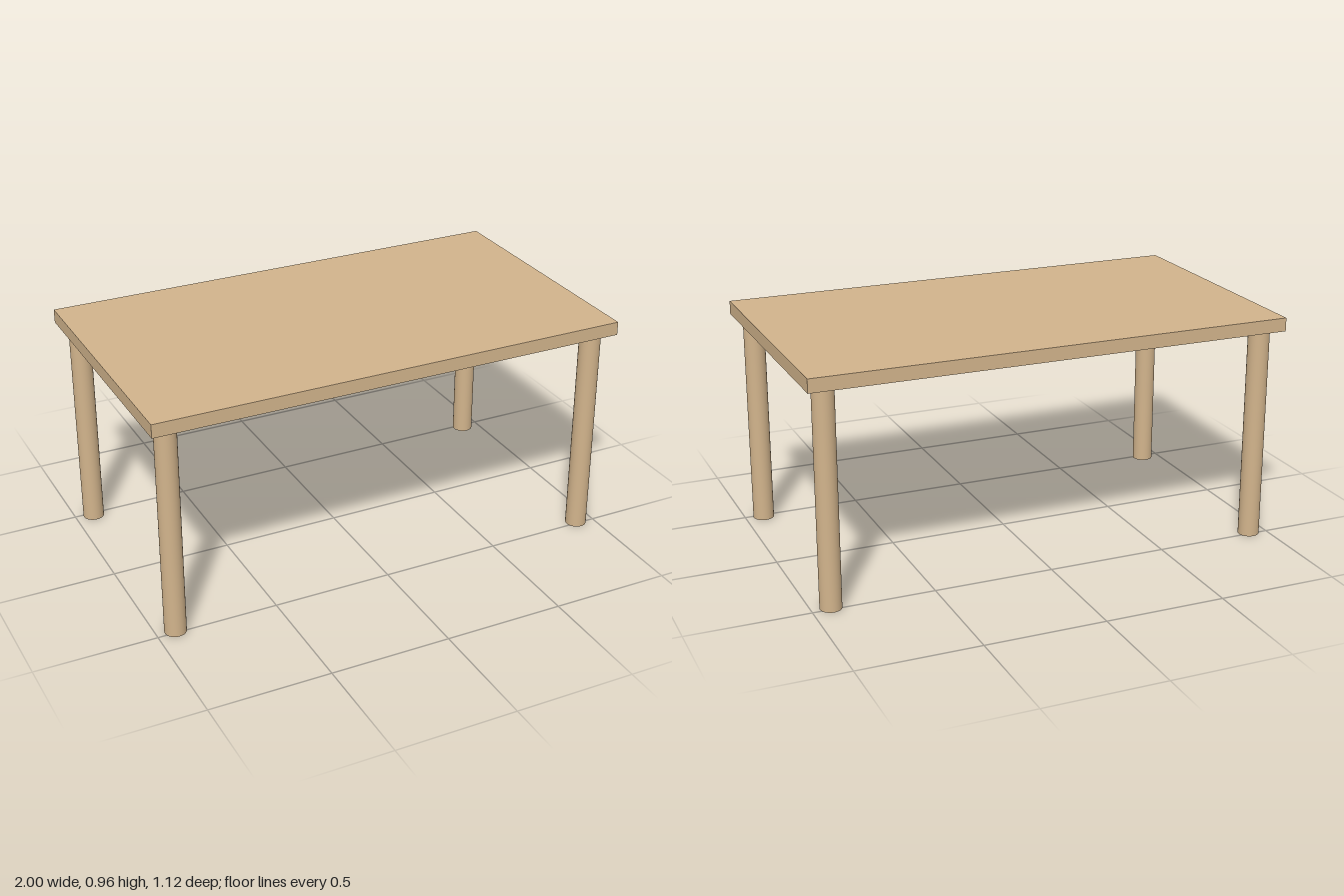
import * as THREE from 'three';

export function createModel() {
  const table = new THREE.Group();
  table.name = 'table';
  const wood = new THREE.MeshStandardMaterial({ color: 0xd2b48c });

  const legHeight = 0.9, legRadius = 0.044, topThickness = 0.056;

  // Flat rectangular top resting on the legs
  const top = new THREE.Mesh(new THREE.BoxGeometry(2, topThickness, 1.122), wood);
  top.name = 'tableTop';
  top.position.y = legHeight + topThickness / 2;
  table.add(top);

  // Four round legs, one near each corner
  const legGeometry = new THREE.CylinderGeometry(legRadius, legRadius, legHeight, 32);
  for (const [zName, z] of [['front', 0.485], ['back', -0.485]]) {
    for (const [xName, x] of [['Left', 0.922], ['Right', -0.922]]) {
      const leg = new THREE.Mesh(legGeometry, wood);
      leg.name = `${zName}${xName}Leg`;
      leg.position.set(x, legHeight / 2, z);
      table.add(leg);
    }
  }
  return table;
}
